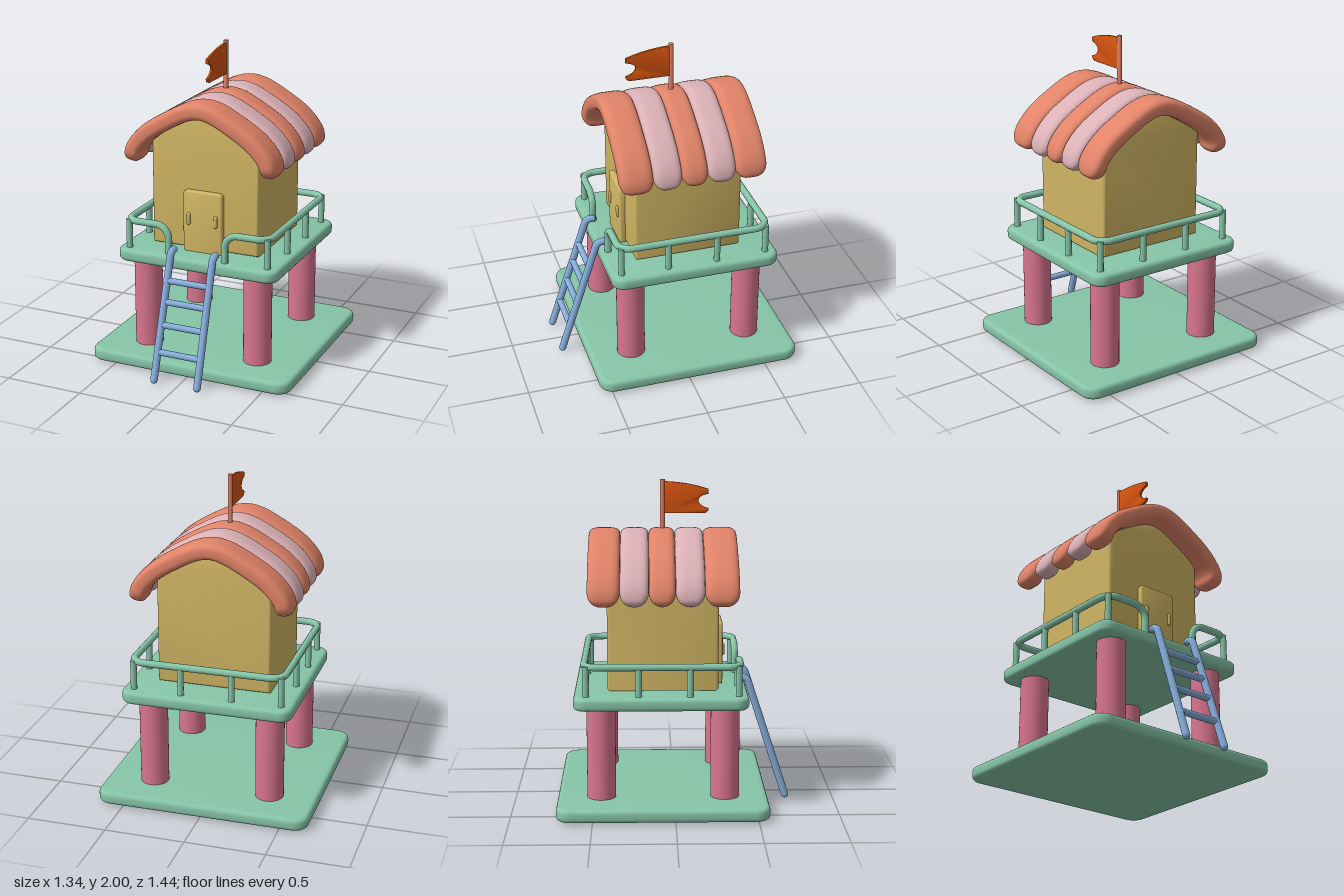
import * as THREE from 'three';
import { toCreasedNormals } from 'three/addons/utils/BufferGeometryUtils.js';

const V = (x, y, z) => new THREE.Vector3(x, y, z);

function makeMat(name, color) {
  const m = new THREE.MeshStandardMaterial({ color });
  m.name = name;
  return m;
}

function add(parent, name, geo, material, x = 0, y = 0, z = 0) {
  const mesh = new THREE.Mesh(geo, material);
  mesh.name = name;
  mesh.position.set(x, y, z);
  parent.add(mesh);
  return mesh;
}

// Rounded rectangle centred on the origin
function roundedRect(w, h, r) {
  const s = new THREE.Shape(), a = w / 2 - r, b = h / 2 - r;
  s.absarc(a, b, r, 0, Math.PI / 2);
  s.absarc(-a, b, r, Math.PI / 2, Math.PI);
  s.absarc(-a, -b, r, Math.PI, Math.PI * 1.5);
  s.absarc(a, -b, r, Math.PI * 1.5, Math.PI * 2);
  s.closePath();
  return s;
}

// Extrusion from z = 0 to z = depth with soft edges that stay inside the outline
function softExtrude(shape, depth, bevel, segs = 8) {
  const g = new THREE.ExtrudeGeometry(shape, {
    depth: depth - 2 * bevel, bevelThickness: bevel, bevelSize: bevel,
    bevelOffset: -bevel, bevelSegments: 4, curveSegments: segs,
  });
  g.translate(0, 0, bevel);
  return toCreasedNormals(g, 0.7);
}

// Polyline with its inner corners rounded by radius r
function roundedPath(pts, r) {
  const path = new THREE.CurvePath();
  let from = pts[0];
  for (let i = 1; i < pts.length - 1; i++) {
    const p = pts[i];
    const a = p.clone().add(pts[i - 1].clone().sub(p).setLength(r));
    const b = p.clone().add(pts[i + 1].clone().sub(p).setLength(r));
    const k = 0.552;
    path.add(new THREE.LineCurve3(from, a));
    path.add(new THREE.CubicBezierCurve3(a, a.clone().lerp(p, k), b.clone().lerp(p, k), b));
    from = b;
  }
  path.add(new THREE.LineCurve3(from, pts[pts.length - 1]));
  return path;
}

// Puffy roof band: a squarish cross-section swept along the arch, rounded at both eaves
function roofBand(arch, width, thick) {
  const rows = 72, ring = 32, R = 0.085, pos = [], idx = [];
  const len = arch.getLength(), hw = width / 2;
  const round = (d, r) => (d >= r ? 1 : Math.sqrt(Math.max(0, 1 - (1 - d / r) ** 2)));
  for (let i = 0; i <= rows; i++) {
    // cosine spacing packs rows at the eaves
    const t = (1 - Math.cos(Math.PI * i / rows)) / 2;
    const p = arch.getPointAt(t), tan = arch.getTangentAt(t);
    const d = Math.min(t, 1 - t) * len;
    const w = hw - R + R * round(d, R), h = thick * round(d, 0.045);
    for (let j = 0; j < ring; j++) {
      const a = j / ring * Math.PI * 2, c = Math.cos(a), s = Math.sin(a);
      const z = Math.sign(c) * Math.abs(c) ** 0.55 * (d === 0 ? hw - R : w);
      const n = Math.sign(s) * Math.abs(s) ** 0.65 * h;
      pos.push(p.x - tan.y * n, p.y + tan.x * n, z);
    }
  }
  for (let i = 0; i < rows; i++) for (let j = 0; j < ring; j++) {
    const a = i * ring + j, b = i * ring + (j + 1) % ring, c = a + ring, e = b + ring;
    idx.push(a, c, b, b, c, e);
  }
  const g = new THREE.BufferGeometry();
  g.setAttribute('position', new THREE.Float32BufferAttribute(pos, 3));
  g.setIndex(idx);
  g.computeVertexNormals();
  return g;
}

export function createModel() {
  const model = new THREE.Group();
  model.name = 'stiltHouse';
  const green = makeMat('mint green', 0x86c5a8);
  const yellow = makeMat('sand yellow', 0xd0b563);
  const rose = makeMat('rose', 0xd9758f);
  const blue = makeMat('soft blue', 0x86addb);
  const coral = makeMat('coral', 0xe08368);
  const pale = makeMat('pale pink', 0xdbb1b6);
  const orange = makeMat('burnt orange', 0xd4520f);

  // Ground slab and raised deck
  const slab = (name, w, d, r, y, z) =>
    add(model, name, softExtrude(roundedRect(w, d, r), 0.08, 0.025), green, 0, y, z).rotation.x = -Math.PI / 2;
  slab('base', 1.34, 1.29, 0.09, 0.01, -0.075);
  slab('deck', 1.07, 1.06, 0.08, 0.66, -0.085);

  // Stilts
  for (const x of [-0.375, 0.37]) for (const z of [0.305, -0.45])
    add(model, 'stilt', new THREE.CylinderGeometry(0.088, 0.088, 0.6, 32), rose, x, 0.375, z);

  // House body with an arched gable
  const wall = new THREE.Shape();
  wall.moveTo(-0.355, 0.75);
  wall.lineTo(0.355, 0.75);
  wall.lineTo(0.355, 1.45);
  wall.splineThru([[0.2, 1.555], [0.08, 1.62], [0, 1.635], [-0.08, 1.62], [-0.2, 1.555], [-0.355, 1.45]]
    .map(([x, y]) => new THREE.Vector2(x, y)));
  wall.closePath();
  add(model, 'house', softExtrude(wall, 0.675, 0.018, 5), yellow, -0.005, 0, -0.41);

  // Door with two handles
  add(model, 'door', softExtrude(roundedRect(0.26, 0.4, 0.025), 0.06, 0.012), yellow, -0.005, 0.93, 0.24);
  for (const x of [-0.095, 0.085])
    add(model, 'doorHandle', new THREE.CapsuleGeometry(0.013, 0.055, 6, 12), yellow, x, 0.952, 0.301);

  // Striped roof
  const half = [[0.455, 1.282], [0.44, 1.37], [0.36, 1.47], [0.2, 1.575], [0.08, 1.633]];
  const arch = new THREE.CatmullRomCurve3([
    ...half.map(([x, y]) => V(-x, y, 0)), V(0, 1.648, 0),
    ...half.slice().reverse().map(([x, y]) => V(x, y, 0)),
  ]);
  const edges = [0.385, 0.178, 0.003, -0.157, -0.33, -0.525];
  for (let i = 0; i < 5; i++)
    add(model, 'roofBand', roofBand(arch, edges[i] - edges[i + 1], 0.054), i % 2 ? pale : coral,
      -0.005, 0, (edges[i] + edges[i + 1]) / 2);

  // Railing: one bent tube, open at the ladder
  const X = 0.475, top = 0.92, front = 0.395, back = -0.55;
  const rail = roundedPath([
    V(-0.188, 0.72, front), V(-0.188, top, front), V(-X, top, front), V(-X, top, back),
    V(X, top, back), V(X, top, front), V(0.188, top, front), V(0.188, 0.72, front),
  ], 0.085);
  add(model, 'railing', new THREE.TubeGeometry(rail, 300, 0.022, 12), green);
  const posts = [[-0.16, back], [0.16, back]];
  for (const s of [-1, 1]) {
    for (const z of [0.09, -0.22]) posts.push([s * X, z]);
    for (const z of [front - 0.012, back + 0.012]) posts.push([s * (X - 0.012), z]);
  }
  for (const [x, z] of posts)
    add(model, 'railPost', new THREE.CylinderGeometry(0.02, 0.02, 0.2, 12), green, x, 0.825, z);

  // Ladder: two bent side poles with rounded tips, and rungs
  const ladder = new THREE.Group();
  ladder.name = 'ladder';
  ladder.position.x = -0.005;
  model.add(ladder);
  for (const s of [-1, 1]) {
    const foot = V(s * 0.145, 0.024, 0.698), tip = V(s * 0.14, 0.78, 0.41);
    const pole = roundedPath([foot, V(s * 0.14, 0.785, 0.45), tip], 0.03);
    add(ladder, 'ladderPole', new THREE.TubeGeometry(pole, 40, 0.023, 12), blue);
    for (const p of [foot, tip])
      add(ladder, 'ladderPoleTip', new THREE.SphereGeometry(0.023, 12, 8), blue, p.x, p.y, p.z);
  }
  for (const y of [0.61, 0.485, 0.35, 0.19])
    add(ladder, 'rung', new THREE.CylinderGeometry(0.02, 0.02, 0.28, 12), blue,
      0, y, 0.698 - (y - 0.024) * 0.326).rotation.z = Math.PI / 2;

  // Flagpole and swallow-tailed flag
  add(model, 'flagpole', new THREE.CylinderGeometry(0.015, 0.015, 0.36, 12), coral, -0.01, 1.82, -0.07);
  const cloth = new THREE.Shape();
  cloth.moveTo(-0.07, 1.79);
  cloth.lineTo(0.185, 1.79);
  cloth.quadraticCurveTo(0.215, 1.795, 0.215, 1.82);
  cloth.quadraticCurveTo(0.155, 1.835, 0.152, 1.87);
  cloth.quadraticCurveTo(0.155, 1.9, 0.215, 1.91);
  cloth.lineTo(0.212, 1.94);
  cloth.quadraticCurveTo(0.08, 1.985, -0.07, 1.987);
  cloth.closePath();
  add(model, 'flag', softExtrude(cloth, 0.016, 0.003, 6), orange, -0.002, 0, 0).rotation.y = -Math.PI / 2;

  return model;
}
